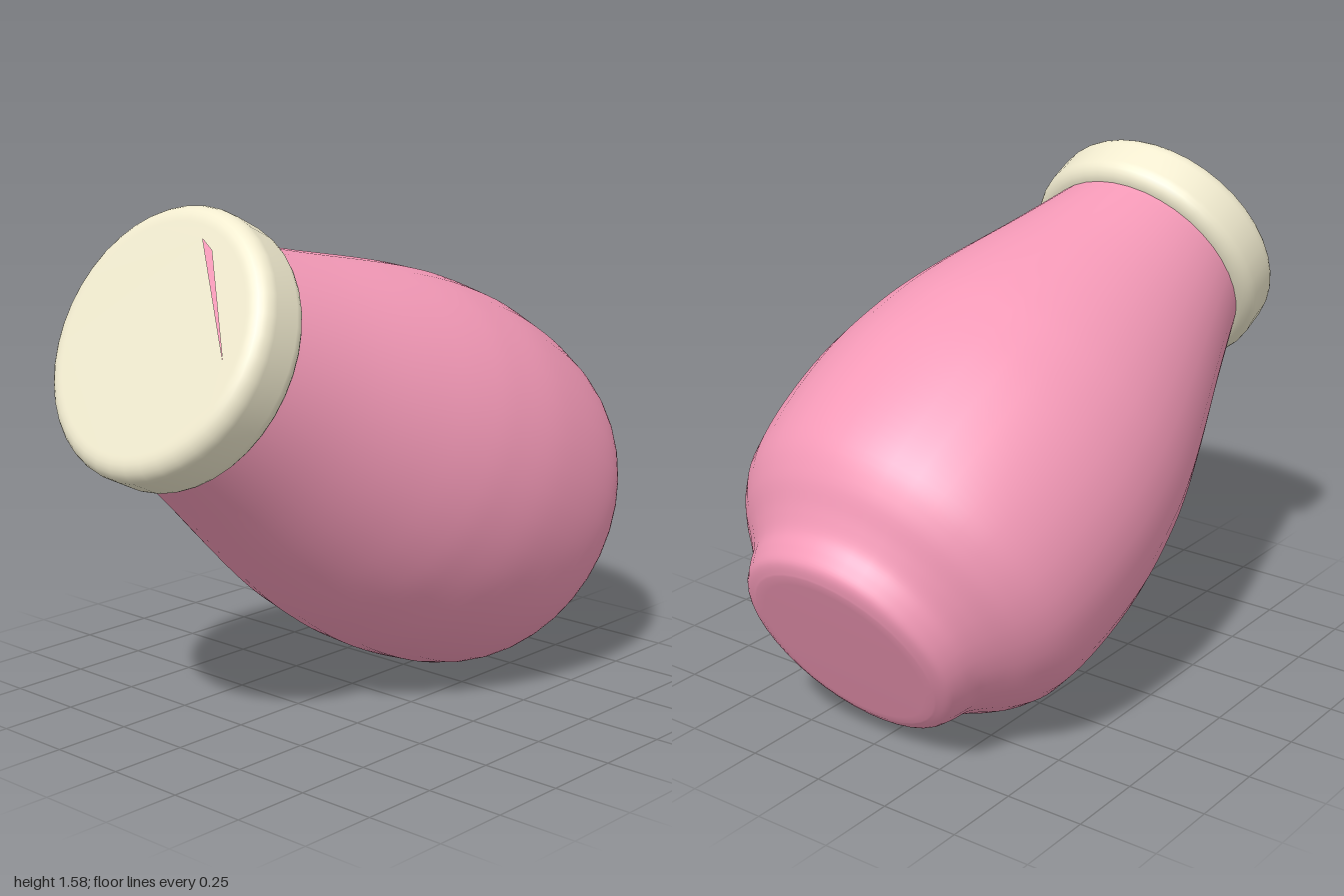
import * as THREE from 'three';

const SEGMENTS = 40;
const CENTRE = [0, 1.2, 0.74]; // middle of the cap, where both parts meet

// Lathe whose axis runs along z; points are [radius, z], from back to front
function latheZ(points) {
  return new THREE.LatheGeometry(points.map(([r, z]) => new THREE.Vector2(r, z)), SEGMENTS).rotateX(Math.PI / 2);
}

function tilted(object, name, degrees) {
  object.name = name;
  object.position.set(...CENTRE);
  object.rotation.x = -THREE.MathUtils.degToRad(degrees);
  return object;
}

function createBody() {
  // Jar wall from the rounded foot, over the pinch and belly, to the neck
  const wall = new THREE.SplineCurve([
    [0.31, -1.812], [0.352, -1.795], [0.376, -1.755], [0.396, -1.71], [0.44, -1.66],
    [0.51, -1.59], [0.567, -1.49], [0.598, -1.32], [0.606, -1.1], [0.585, -0.9],
    [0.555, -0.75], [0.505, -0.57], [0.428, -0.32], [0.362, -0.09],
  ].map(([r, z]) => new THREE.Vector2(r, z))).getPoints(64).map((p) => [p.x, p.y]);
  const profile = [[0, -1.815], [0.28, -1.815], ...wall, [0.35, -0.03], [0, -0.03]];
  const material = new THREE.MeshStandardMaterial({ color: 0xf59ab8, side: THREE.DoubleSide });
  return tilted(new THREE.Mesh(latheZ(profile), material), 'jarBody', 27.3);
}

function createCap() {
  const cap = new THREE.Group();
  const material = new THREE.MeshStandardMaterial({ color: 0xf1ebcf, side: THREE.DoubleSide });
  const faceRadius = 0.345;
  const half = 0.098;

  // Rim: flat back, rounded edges, straight band
  const profile = [[0.3, -half], [0.355, -half]];
  const round = 0.055;
  for (const [zc, start] of [[-half + round, -90], [half - round, 0]]) {
    for (let i = 0; i <= 6; i++) {
      const a = THREE.MathUtils.degToRad(start + i * 15);
      profile.push([0.41 - round + round * Math.cos(a), zc + round * Math.sin(a)]);
    }
  }
  profile.push([faceRadius, half]);
  const rim = new THREE.Mesh(latheZ(profile), material);
  rim.name = 'capRim';

  // Flat face with a narrow tapering slit
  const disc = new THREE.Shape().absarc(0, 0, faceRadius, 0, Math.PI * 2);
  disc.holes.push(new THREE.Path([[0.075, 0.3], [0.125, 0.27], [0.3, -0.03]].map((p) => new THREE.Vector2(...p))));
  const face = new THREE.Mesh(new THREE.ShapeGeometry(disc, SEGMENTS).translate(0, 0, half), material);
  face.name = 'capFace';

  cap.add(rim, face);
  return tilted(cap, 'cap', 26.3);
}

export function createModel() {
  const model = new THREE.Group();
  model.name = 'tiltedJar';
  model.add(createBody(), createCap());
  return model;
}
